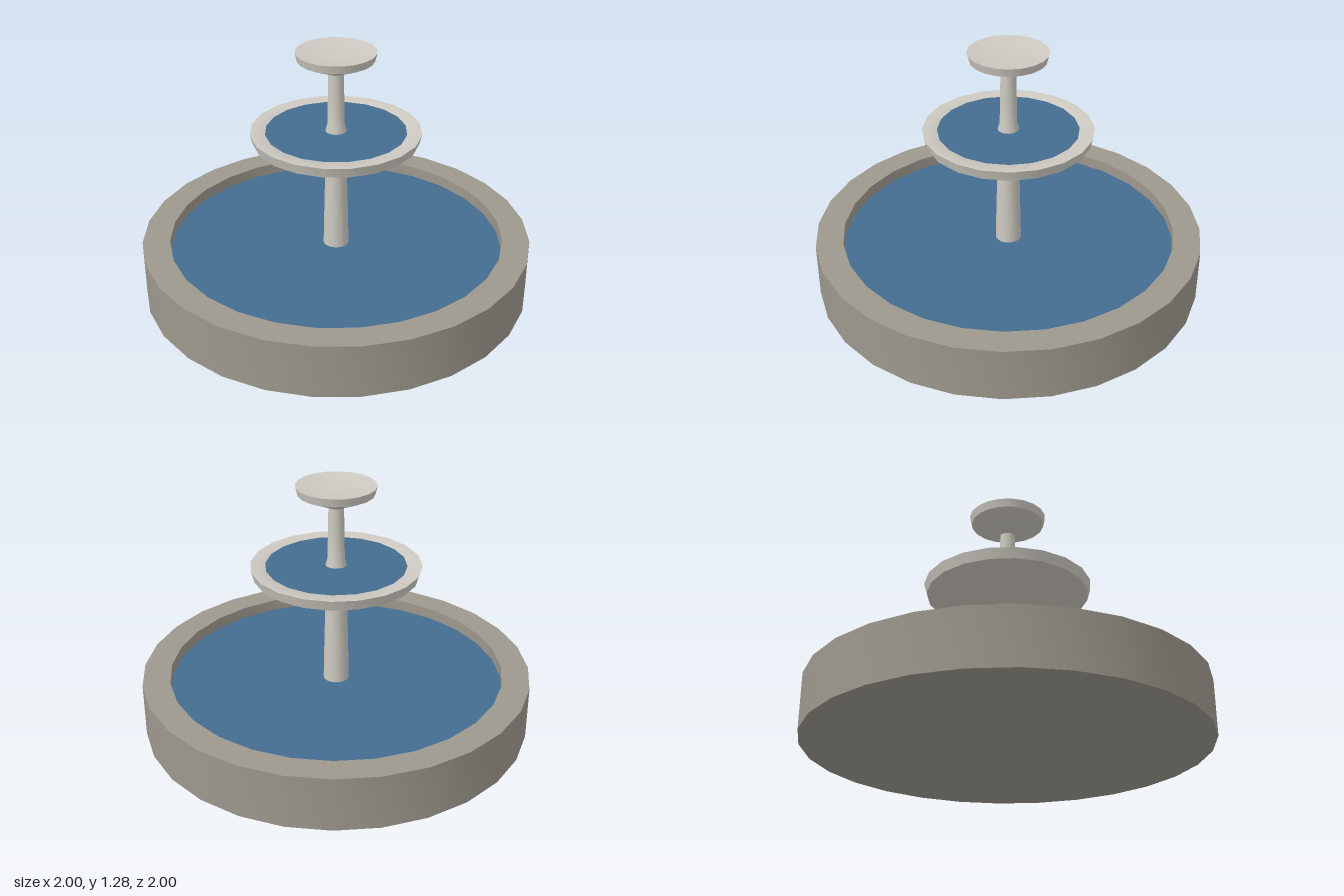
import * as THREE from 'three';
import { toCreasedNormals } from 'three/addons/utils/BufferGeometryUtils.js';

const basinStone = new THREE.MeshStandardMaterial({ color: 0x9d988d });
basinStone.name = 'basin stone';
const paleStone = new THREE.MeshStandardMaterial({ color: 0xcdc9c1 });
paleStone.name = 'pale stone';
const water = new THREE.MeshStandardMaterial({ color: 0x446d90 });
water.name = 'water';

// Turned part from [radius, height] pairs, running up the outside and back down the inside
function turned(name, profile, sides, material) {
  const points = profile.map(([r, y]) => new THREE.Vector2(r, y));
  const geometry = toCreasedNormals(new THREE.LatheGeometry(points, sides), Math.PI / 6);
  const mesh = new THREE.Mesh(geometry, material);
  mesh.name = name;
  return mesh;
}

// Flat water surface, with a corner on the z axis like the turned parts
function pool(name, radius, y, sides) {
  const geometry = new THREE.CircleGeometry(radius, sides, Math.PI / 2);
  geometry.rotateX(-Math.PI / 2).translate(0, y, 0);
  const mesh = new THREE.Mesh(geometry, water);
  mesh.name = name;
  return mesh;
}

export function createModel() {
  const fountain = new THREE.Group();
  fountain.name = 'fountain';

  // Broad ground basin
  fountain.add(turned('basin',
    [[0, 0], [1, 0], [1, 0.28], [0.86, 0.28], [0.86, 0.12], [0, 0.12]], 28, basinStone));
  fountain.add(pool('basinWater', 0.86, 0.22, 28));

  // Lower column
  fountain.add(turned('lowerColumn', [[0.067, 0.12], [0.065, 0.28], [0.055, 0.67]], 20, paleStone));

  // Middle bowl with a flat rim
  fountain.add(turned('middleBowl',
    [[0, 0.67], [0.06, 0.67], [0.11, 0.725], [0.415, 0.812], [0.43, 0.865], [0.355, 0.862],
      [0.3, 0.83], [0, 0.8]], 20, paleStone));
  fountain.add(pool('middleWater', 0.356, 0.862, 20));

  // Upper column with a flared foot
  fountain.add(turned('upperColumn',
    [[0.054, 0.8], [0.053, 0.865], [0.043, 0.9], [0.041, 1.04], [0.038, 1.17]], 20, paleStone));

  // Small top dish, slightly hollow
  fountain.add(turned('topDish',
    [[0, 1.17], [0.04, 1.17], [0.19, 1.238], [0.2, 1.28], [0, 1.25]], 20, paleStone));

  return fountain;
}
